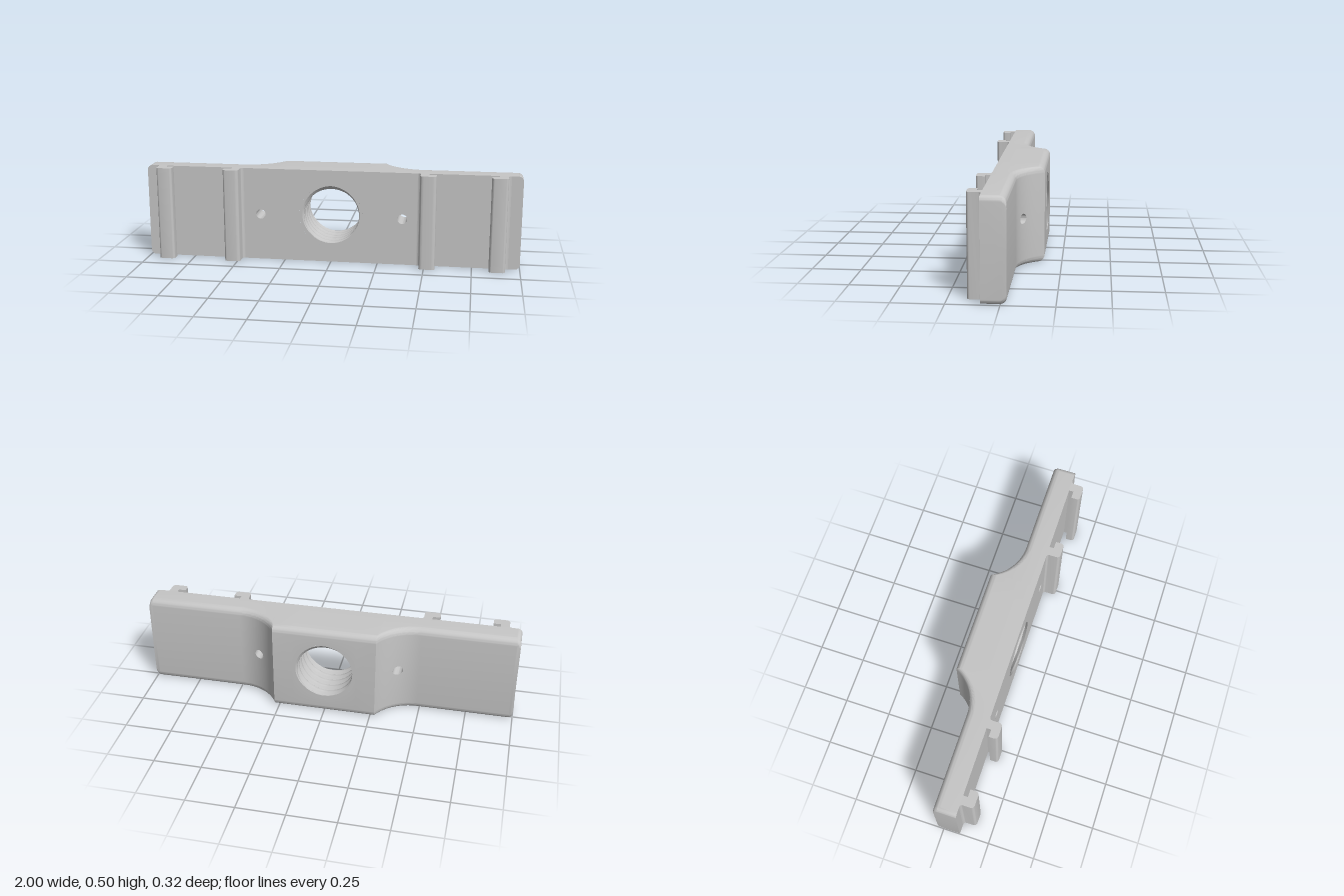
import * as THREE from 'three';
import { toCreasedNormals } from 'three/addons/utils/BufferGeometryUtils.js';

const MID = 0.25, FRONT = 0.09, WING = -0.03, BOSS = -0.16;
const BOSS_X = 0.275, WING_X = 0.49;      // the concave sweep runs between these
const FILLET = 0.035, CORNER = 0.026;
const BORE = 0.17, PIN_X = 0.38, PIN_R = 0.026;

// Depth of the back face: flat boss, concave arc, flat wing
function backZ(x) {
  const a = Math.abs(x), w = WING_X - BOSS_X, d = WING - BOSS;
  if (a <= BOSS_X) return BOSS;
  if (a >= WING_X) return WING;
  const R = (w * w + d * d) / (2 * d);
  return WING - R + Math.sqrt(R * R - (WING_X - a) ** 2);
}

// Half height of the plate, rounded at the end corners
function halfHeight(x) {
  const d = Math.max(0, Math.abs(x) - (1 - CORNER));
  return MID - CORNER + Math.sqrt(Math.max(0, CORNER * CORNER - d * d));
}

// Half height of whichever hole is cut at x
function holeHalf(x) {
  const a = Math.abs(x), d = a < BORE ? a : a - PIN_X, r = a < BORE ? BORE : PIN_R;
  return Math.sqrt(Math.max(0, r * r - d * d));
}

function geometryFrom(tris) {
  const g = new THREE.BufferGeometry();
  g.setAttribute('position', new THREE.Float32BufferAttribute(tris, 3));
  return toCreasedNormals(g, 0.55);
}

function addTri(out, a, b, c) {
  const ab = b.clone().sub(a), ac = c.clone().sub(a);
  if (ab.cross(ac).length() > 1e-10) out.push(...a.toArray(), ...b.toArray(), ...c.toArray());
}

function addQuad(out, a, b, c, d, flip) {
  if (flip) { addTri(out, a, c, b); addTri(out, b, c, d); }
  else { addTri(out, a, b, c); addTri(out, b, d, c); }
}

// Upper (s = 1) or lower (s = -1) half section, from back to front
function section(x, s, collapsed) {
  const h = halfHeight(x), z = backZ(x), hole = holeHalf(x);
  const pts = [[hole, z]];
  for (let i = 0; i <= 8; i++) {
    const t = i / 8 * Math.PI / 2;
    pts.push([h - FILLET + FILLET * Math.sin(t), z + FILLET * (1 - Math.cos(t))]);
  }
  pts.push([h, FRONT], [hole, FRONT]);
  return pts.map(([y, pz]) => new THREE.Vector3(x, MID + (collapsed ? 0 : s * y), pz));
}

function bodyGeometry() {
  // Stations along x, closer together at holes, arcs and rounded corners
  const half = [0];
  for (let i = 1; i <= 20; i++) half.push(BORE * Math.sin(i / 20 * Math.PI / 2));
  for (let i = 0; i <= 8; i++) half.push(BOSS_X + (PIN_X - PIN_R - BOSS_X) * i / 8);
  for (let i = 1; i <= 16; i++) half.push(PIN_X - PIN_R * Math.cos(i / 16 * Math.PI));
  for (let i = 1; i <= 8; i++) half.push(PIN_X + PIN_R + (WING_X - PIN_X - PIN_R) * i / 8);
  for (let i = 0; i <= 8; i++) half.push(1 - CORNER + CORNER * Math.sin(i / 8 * Math.PI / 2));
  const xs = [...half.slice(1).reverse().map(x => -x), ...half];
  const out = [];
  for (const s of [1, -1]) {
    const rows = xs.map(x => section(x, s, false));
    rows.unshift(section(-1, s, true));      // end caps
    rows.push(section(1, s, true));
    for (let i = 0; i + 1 < rows.length; i++) {
      const p = rows[i], q = rows[i + 1], n = p.length;
      for (let j = 0; j + 1 < n; j++) addQuad(out, p[j], p[j + 1], q[j], q[j + 1], s < 0);
      // Walls of the small holes
      const m = Math.abs((p[0].x + q[0].x) / 2);
      if (Math.abs(m - PIN_X) < PIN_R) addQuad(out, p[n - 1], p[0], q[n - 1], q[0], s < 0);
    }
  }
  return geometryFrom(out);
}

// Threaded bore wall facing the axis, closed to the faces by flat rims
function threadGeometry() {
  const pitch = 0.05, rows = 70, seg = 64, out = [];
  const point = (i, j) => {
    const k = Math.min(rows, Math.max(0, i));
    const z = FRONT + (BOSS - FRONT) * k / rows, t = j / seg * Math.PI * 2;
    const turn = (t - Math.PI / 2) / (Math.PI * 2) - (z - FRONT) / pitch;
    const tri = Math.abs(2 * (turn - Math.floor(turn)) - 1);
    const r = i < 0 || i > rows ? BORE : 0.147 + 0.02 * Math.max(0, tri * 1.35 - 0.35);
    return new THREE.Vector3(r * Math.cos(t), MID + r * Math.sin(t), z);
  };
  for (let i = -1; i <= rows; i++) {
    for (let j = 0; j < seg; j++) {
      addQuad(out, point(i, j), point(i, j + 1), point(i + 1, j), point(i + 1, j + 1), false);
    }
  }
  return geometryFrom(out);
}

// Hooked rail: stem at x, foot pointing along dir
function railGeometry(x, dir) {
  const s = new THREE.Shape(), X = u => x + dir * u;
  s.moveTo(X(-0.016), -FRONT + 0.002);
  s.lineTo(X(-0.016), -FRONT);
  s.quadraticCurveTo(X(0), -FRONT, X(0), -0.106);
  s.lineTo(X(0), -0.14);
  s.quadraticCurveTo(X(0), -0.16, X(0.02), -0.16);
  s.lineTo(X(0.066), -0.16);
  s.quadraticCurveTo(X(0.085), -0.16, X(0.085), -0.141);
  s.lineTo(X(0.085), -0.114);
  s.lineTo(X(0.046), -0.114);
  s.lineTo(X(0.046), -FRONT + 0.002);
  s.closePath();
  const g = new THREE.ExtrudeGeometry(s, { depth: 2 * MID, bevelEnabled: false, curveSegments: 6 });
  g.rotateX(-Math.PI / 2);
  return toCreasedNormals(g, 0.5);
}

export function createModel() {
  const group = new THREE.Group();
  group.name = 'mountingBracket';
  const grey = new THREE.MeshStandardMaterial({ color: 0xc6c6c6 });
  grey.name = 'grey';
  const add = (name, geometry) => {
    const mesh = new THREE.Mesh(geometry, grey);
    mesh.name = name;
    group.add(mesh);
  };
  add('plateBody', bodyGeometry());
  add('threadedBore', threadGeometry());
  add('outerRailRight', railGeometry(-0.933, 1));
  add('innerRailRight', railGeometry(-0.485, -1));
  add('innerRailLeft', railGeometry(0.473, 1));
  add('outerRailLeft', railGeometry(0.923, -1));
  return group;
}
